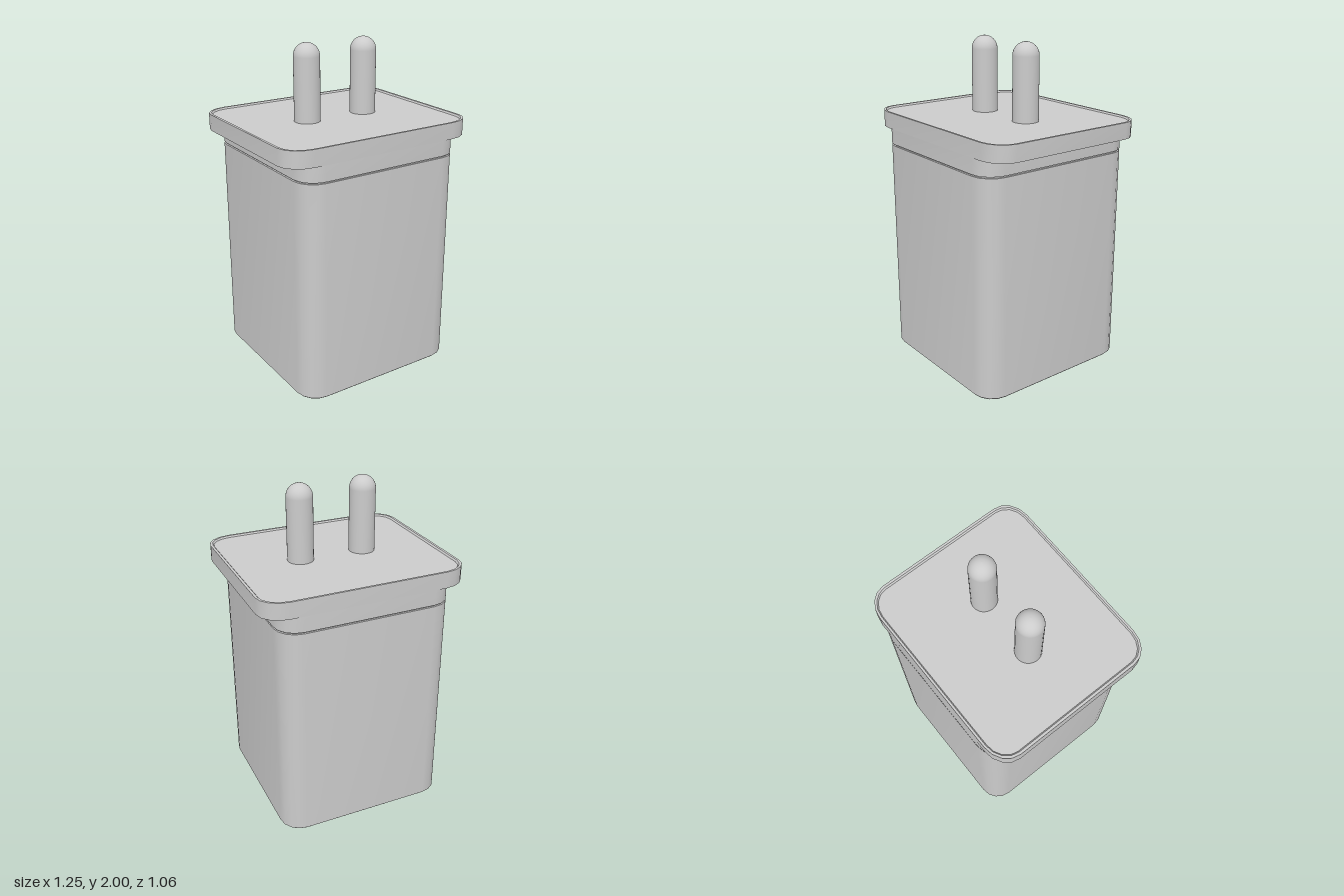
import * as THREE from 'three';
import { toCreasedNormals } from 'three/addons/utils/BufferGeometryUtils.js';

const grey = new THREE.MeshStandardMaterial({ color: 0xcccccc });
const HALF = 0.532, RADIUS = 0.13, STEPS = 4;

// Rounded square outline pulled in by `inset`, stretched along x by `sx`
function outline(inset, sx) {
  const h = HALF - inset * 1, r = RADIUS - inset, pts = [];
  for (let q = 0; q < 4; q++) {
    const mid = (q + 0.5) * Math.PI / 2;
    const cx = Math.sign(Math.cos(mid)) * (h - r), cz = Math.sign(Math.sin(mid)) * (h - r);
    for (let i = 0; i <= STEPS; i++) {
      const a = (q + i / STEPS) * Math.PI / 2;
      pts.push([(cx + r * Math.cos(a)) * sx, cz + r * Math.sin(a)]);
    }
  }
  return pts;
}

// Closed solid through a stack of [y, inset] outlines
function loft(rows, sx = 1) {
  const pos = [], index = [];
  for (const [y, inset] of rows) for (const [x, z] of outline(inset, sx)) pos.push(x, y, z);
  const n = 4 * (STEPS + 1), last = (rows.length - 1) * n, bottom = rows.length * n;
  pos.push(0, rows[0][0], 0, 0, rows[rows.length - 1][0], 0);
  for (let i = 0; i < n; i++) {
    const j = (i + 1) % n;
    for (let k = 0; k < last; k += n) index.push(k + i, k + n + i, k + j, k + j, k + n + i, k + n + j);
    index.push(bottom, i, j, bottom + 1, last + j, last + i);
  }
  const g = new THREE.BufferGeometry();
  g.setAttribute('position', new THREE.Float32BufferAttribute(pos, 3));
  g.setIndex(index);
  return toCreasedNormals(g, 0.6);
}

export function createModel() {
  const model = new THREE.Group();
  const add = (name, geometry) => {
    const mesh = new THREE.Mesh(geometry, grey);
    mesh.name = name;
    model.add(mesh);
    return mesh;
  };

  // Main housing with softened bottom edge, a thin seam and the collar above it
  add('housing', loft([
    [0, 0.008], [0.008, 0], [1.348, 0], [1.348, 0.012],
    [1.357, 0.012], [1.357, 0], [1.45, 0],
  ]));

  // Wider flange with a thin raised rim around the top panel
  add('flange', loft([[1.45, 0], [1.55, 0], [1.55, 0.013], [1.54, 0.02]], 1.177));

  // Two round-ended contact pins
  const r = 0.078, profile = [new THREE.Vector2(r, 1.53)];
  for (let i = 0; i <= 10; i++) {
    const a = i / 10 * Math.PI / 2;
    profile.push(new THREE.Vector2(i === 10 ? 0 : r * Math.cos(a), 2 - r + r * Math.sin(a)));
  }
  const pin = new THREE.LatheGeometry(profile, 32);
  add('leftPin', pin).position.x = 0.203;
  add('rightPin', pin).position.x = -0.193;

  return model;
}
